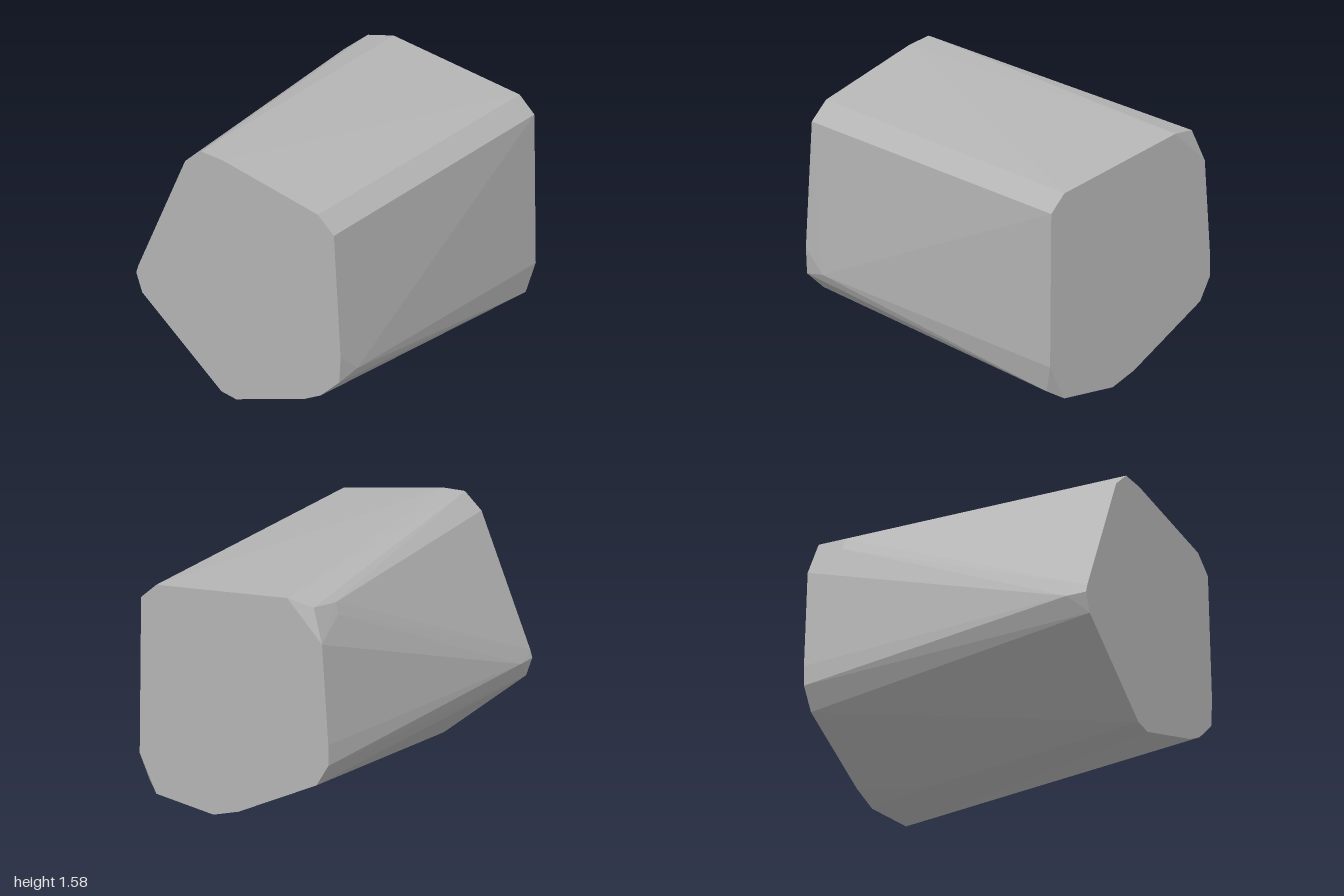
import * as THREE from 'three';
import { ConvexGeometry } from 'three/addons/geometries/ConvexGeometry.js';

// Outlines of the two cut ends, as [z, y]
const leftEnd = [
  [0.70, 1.31], [0.59, 1.41], [-0.35, 1.515], [-0.60, 1.27], [-0.645, 0.64],
  [-0.645, 0.51], [-0.56, 0.37], [0, 0.09], [0.18, 0.035], [0.59, 0.085], [0.71, 0.32],
];
const rightEnd = [
  [0.71, 1.32], [0.59, 1.425], [-0.12, 1.57], [-0.28, 1.58], [-0.40, 1.48],
  [-0.75, 0.67], [-0.765, 0.62], [-0.72, 0.50], [-0.13, 0.02], [-0.02, 0],
  [0.49, 0.16], [0.61, 0.22], [0.75, 0.35], [0.76, 0.52],
];

// Chipped corners that lie between the ends, as [x, y, z]
const chips = [
  [0.94, 0.14, 0.68], [-0.85, 0.39, 0.77], [0.97, 1.48, -0.52], [0.77, 1.46, -0.545],
  [0.78, 1.39, -0.57], [-0.87, 0.62, -0.77], [0.6, 0.02, 0.06],
];

export function createModel() {
  const group = new THREE.Group();
  group.name = 'stoneChunk';

  const stone = new THREE.MeshStandardMaterial({ color: 0xb4b4b4 });
  stone.name = 'stone grey';

  const points = [
    ...leftEnd.map(([z, y]) => new THREE.Vector3(1, y, z)),
    ...rightEnd.map(([z, y]) => new THREE.Vector3(-1, y, z)),
    ...chips.map((p) => new THREE.Vector3(...p)),
  ];

  // Faceted convex block spanning both ends
  const block = new THREE.Mesh(new ConvexGeometry(points), stone);
  block.name = 'stoneBlock';
  group.add(block);
  return group;
}
